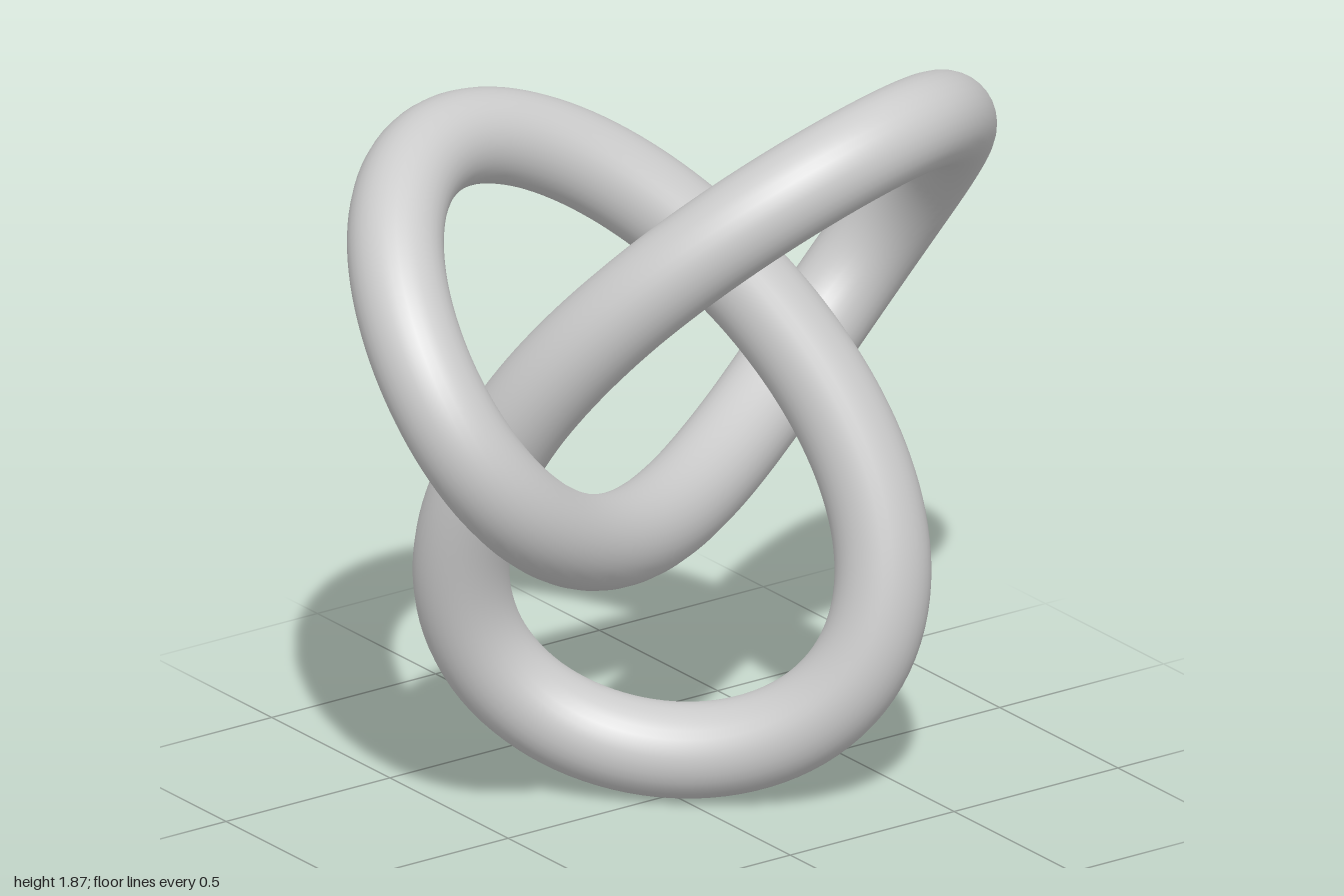
import * as THREE from 'three';

const SCALE = 0.3215;
const RADIUS = 0.12;

// Closed trefoil centre line, lowest lobe resting on the ground
class TrefoilCurve extends THREE.Curve {
  getPoint(u, target = new THREE.Vector3()) {
    const t = u * Math.PI * 2;
    return target.set(
      Math.sin(t) + 2 * Math.sin(2 * t),
      Math.cos(t) - 2 * Math.cos(2 * t) + 3,
      -Math.sin(3 * t)
    ).multiplyScalar(SCALE).add(new THREE.Vector3(0, RADIUS, 0));
  }
}

export function createModel() {
  const group = new THREE.Group();
  group.name = 'trefoilKnot';

  // Smooth round tube swept along the knot
  const tube = new THREE.Mesh(
    new THREE.TubeGeometry(new TrefoilCurve(), 300, RADIUS, 32, true),
    new THREE.MeshStandardMaterial({ color: 0xcccccc })
  );
  tube.name = 'knotTube';
  group.add(tube);
  return group;
}
